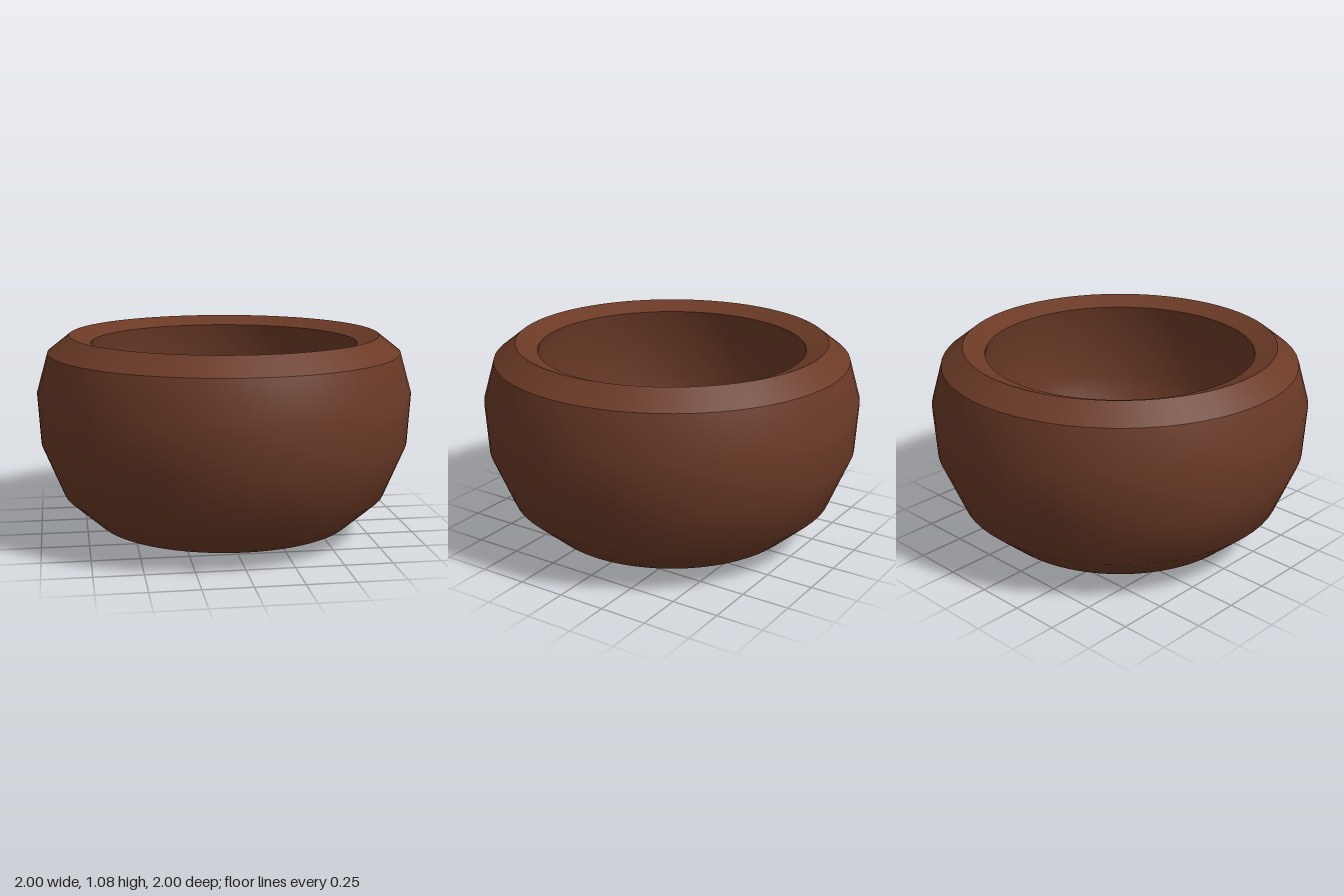
import * as THREE from 'three';

const SIDES = 64;

// Turn a short profile of [radius, height] points into a smooth ring surface
function turned(name, points, material) {
  const profile = points.map(([r, y]) => new THREE.Vector2(r, y));
  const mesh = new THREE.Mesh(new THREE.LatheGeometry(profile, SIDES), material);
  mesh.name = name;
  return mesh;
}

export function createModel() {
  const bowl = new THREE.Group();
  bowl.name = 'bowl';
  const brown = new THREE.MeshStandardMaterial({ color: 0x6b3a26 });
  brown.name = 'dark brown wood';

  // Rounded outside, from the flat foot up to the shoulder
  bowl.add(turned('outerWall', [
    [0, 0], [0.46, 0], [0.69, 0.07], [0.87, 0.23],
    [0.985, 0.51], [1, 0.78], [0.94, 0.99],
  ], brown));

  // Sharp-edged chamfer and inward-sloping lip, kept separate for crisp edges
  bowl.add(turned('rimChamfer', [[0.94, 0.99], [0.825, 1.08]], brown));
  bowl.add(turned('rimLip', [[0.825, 1.08], [0.71, 1.035]], brown));

  // Hollow inside, slightly undercut below the lip
  bowl.add(turned('innerHollow', [
    [0.71, 1.035], [0.75, 0.85], [0.75, 0.6], [0.71, 0.44],
    [0.62, 0.29], [0.36, 0.19], [0, 0.16],
  ], brown));

  return bowl;
}
